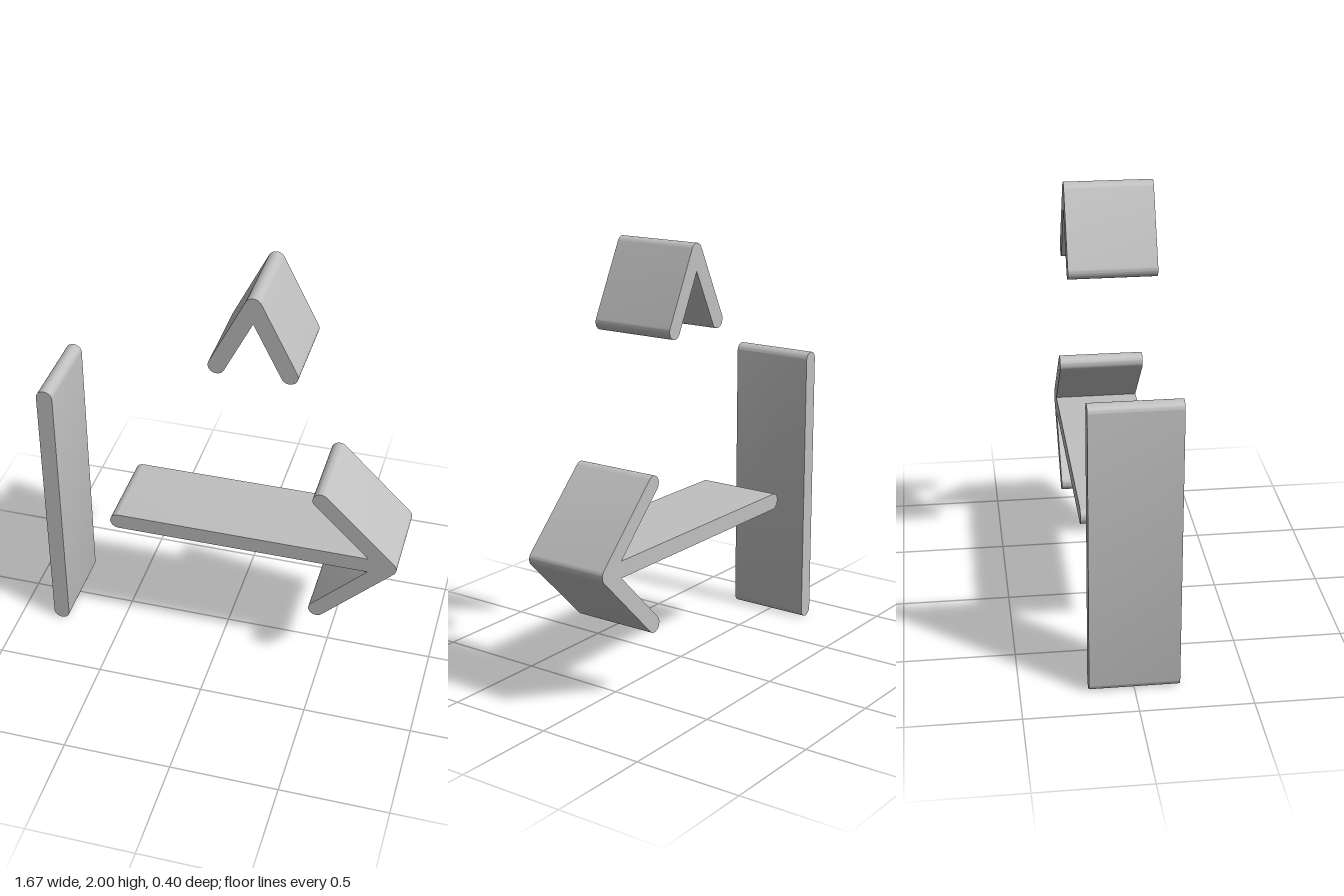
import * as THREE from 'three';
import { toCreasedNormals } from 'three/addons/utils/BufferGeometryUtils.js';

const DEPTH = 0.4;
const RADIUS = 0.038;

// Outline of round-ended arms that meet at a rounded hub; ends go counter-clockwise
function armsShape(hub, ends) {
  const shape = new THREE.Shape();
  const [hx, hy] = hub;
  const angles = ends.map(([x, y]) => Math.atan2(y - hy, x - hx));
  ends.forEach(([x, y], i) => {
    const a = angles[i];
    let gap = angles[(i + 1) % ends.length] - a;
    while (gap <= 1e-6) gap += Math.PI * 2;
    // Round cap at the arm's end
    shape.absarc(x, y, RADIUS, a - Math.PI / 2, a + Math.PI / 2, false);
    if (gap < Math.PI) {
      // Sharp inner corner between neighbouring arms
      const d = RADIUS / Math.sin(gap / 2);
      shape.lineTo(hx + d * Math.cos(a + gap / 2), hy + d * Math.sin(a + gap / 2));
    } else {
      // Rounded outside of the hub
      shape.absarc(hx, hy, RADIUS, a + Math.PI / 2, a + gap - Math.PI / 2, false);
    }
  });
  shape.closePath();
  return shape;
}

export function createModel() {
  const group = new THREE.Group();
  const grey = new THREE.MeshStandardMaterial({ color: 0xc0c0c0 });
  grey.name = 'light grey';

  function addPart(name, hub, ends) {
    const geometry = new THREE.ExtrudeGeometry(armsShape(hub, ends), {
      depth: DEPTH, bevelEnabled: false, curveSegments: 10,
    });
    geometry.translate(0, 0, -DEPTH / 2);
    const mesh = new THREE.Mesh(toCreasedNormals(geometry, 0.6), grey);
    mesh.name = name;
    group.add(mesh);
  }

  // Upright bar on the right-hand side
  addPart('uprightBar', [-0.8, 0.038], [[-0.8, 1.322]]);
  // Arrow: upper barb, shaft, lower barb
  addPart('arrow', [0.798, 0.683], [[0.477, 1.003], [-0.48, 0.683], [0.477, 0.363]]);
  // Floating chevron above
  addPart('chevron', [0.16, 1.962], [[0, 1.643], [0.32, 1.643]]);

  return group;
}
